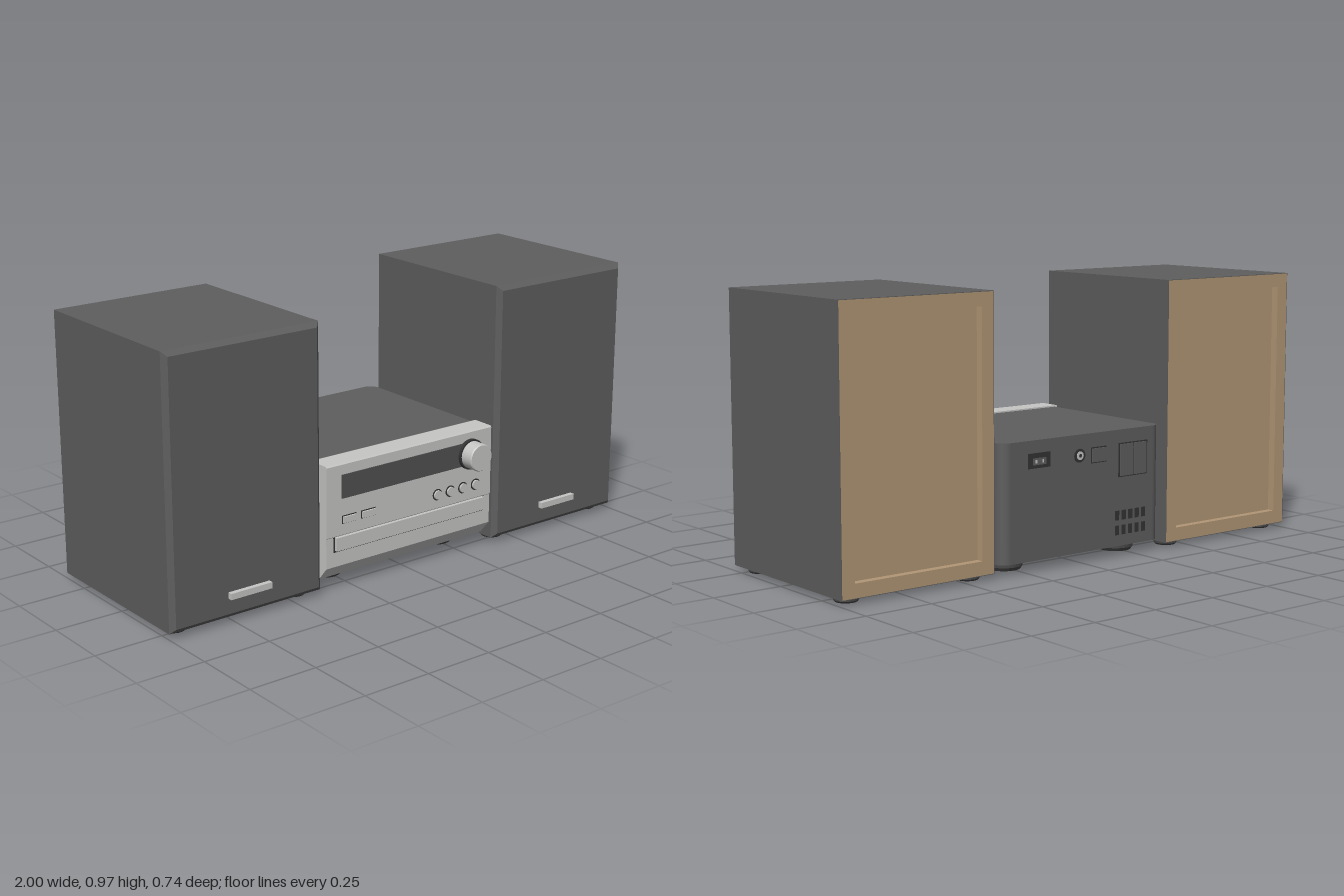
import * as THREE from 'three';

const mat = (name, color) => {
  const m = new THREE.MeshStandardMaterial({ color });
  m.name = name;
  return m;
};

export function createModel() {
  const charcoal = mat('charcoal', 0x5e5e5e);
  const silver = mat('silver', 0xc6c7c5);
  const wood = mat('wood', 0xb39776);
  const rubber = mat('rubber', 0x484848);
  const smoked = mat('smoked display', 0x505050);
  const black = mat('black', 0x333333);

  const model = new THREE.Group();
  model.name = 'stereoSystem';

  const add = (parent, name, geometry, material, x = 0, y = 0, z = 0) => {
    const mesh = new THREE.Mesh(geometry, material);
    mesh.name = name;
    mesh.position.set(x, y, z);
    parent.add(mesh);
    return mesh;
  };
  const box = (parent, name, material, w, h, d, x, y, z) =>
    add(parent, name, new THREE.BoxGeometry(w, h, d), material, x, y, z);
  // Cylinder along z, starting at z0 and ending at z1
  const disc = (parent, name, material, r, z0, z1, x, y) =>
    add(parent, name, new THREE.CylinderGeometry(r, r, z1 - z0, 40).rotateX(Math.PI / 2), material, x, y, (z0 + z1) / 2);
  const rectPoints = (w, h) => [[-w, -h], [w, -h], [w, h], [-w, h]].map(([x, y]) => new THREE.Vector2(x / 2, y / 2));
  // Rectangular ring extruded along z
  const ring = (w, h, iw, ih, depth) => {
    const shape = new THREE.Shape(rectPoints(w, h));
    shape.holes.push(new THREE.Path(rectPoints(iw, ih).reverse()));
    return new THREE.ExtrudeGeometry(shape, { depth, bevelEnabled: false });
  };
  // Rubber foot with a slightly chamfered bottom edge
  const foot = (parent, r, h, x, z) => {
    const profile = [[0, 0], [r * 0.88, 0], [r, h * 0.3], [r, h]].map(([a, b]) => new THREE.Vector2(a, b));
    const geometry = new THREE.LatheGeometry(profile, 32).toNonIndexed();
    geometry.computeVertexNormals();
    add(parent, 'foot', geometry, rubber, x, 0, z);
  };

  // Speakers
  const W = 0.608, H = 0.948, Y = 0.494, BACK = -0.366, RECESS = 0.032;
  for (const side of [-1, 1]) {
    const speaker = new THREE.Group();
    speaker.name = side > 0 ? 'leftSpeaker' : 'rightSpeaker';
    speaker.position.x = side * 0.696;
    model.add(speaker);

    const bodyBack = BACK + RECESS, bodyFront = 0.295;
    box(speaker, 'cabinet', charcoal, W, H, bodyFront - bodyBack, 0, Y, (bodyFront + bodyBack) / 2);
    // Front baffle with chamfered edges
    const baffle = new THREE.BoxGeometry(W, H, 0.017);
    const p = baffle.attributes.position;
    for (let i = 0; i < p.count; i++) {
      if (p.getZ(i) > 0) p.setXY(i, p.getX(i) * (1 - 0.034 / W), p.getY(i) * (1 - 0.034 / H));
    }
    baffle.computeVertexNormals();
    add(speaker, 'frontBaffle', baffle, charcoal, 0, Y, bodyFront + 0.0085);
    box(speaker, 'badge', silver, 0.165, 0.022, 0.018, 0, 0.104, 0.321);

    // Back: dark outer skin, wooden frame and sunken wooden panel
    add(speaker, 'cabinetRim', ring(W, H, W - 0.004, H - 0.004, RECESS), charcoal, 0, Y, BACK);
    add(speaker, 'backFrame', ring(W - 0.004, H - 0.004, W - 0.1, H - 0.1, RECESS), wood, 0, Y, BACK);
    box(speaker, 'backPanel', wood, W - 0.1, H - 0.1, 0.004, 0, Y, bodyBack - 0.002);

    for (const x of [-0.242, 0.242]) for (const z of [0.228, -0.297]) foot(speaker, 0.042, 0.02, x, z);
  }

  // Receiver body with rounded rear corners
  const receiver = new THREE.Group();
  receiver.name = 'receiver';
  model.add(receiver);
  const hw = 0.36, r = 0.038, rear = 0.366;
  const plan = new THREE.Shape();
  plan.moveTo(-hw, -0.225);
  plan.lineTo(hw, -0.225);
  plan.lineTo(hw, rear - r);
  plan.absarc(hw - r, rear - r, r, 0, Math.PI / 2);
  plan.lineTo(-hw + r, rear);
  plan.absarc(-hw + r, rear - r, r, Math.PI / 2, Math.PI);
  plan.closePath();
  add(receiver, 'body', new THREE.ExtrudeGeometry(plan, { depth: 0.415, bevelEnabled: false, curveSegments: 8 }).rotateX(-Math.PI / 2),
    charcoal, 0, 0.04, 0);

  // Front panel: side profile (z, y) with a sloped lower edge
  const profile = [[0.222, 0.04], [0.262, 0.04], [0.305, 0.09], [0.305, 0.199], [0.308, 0.202],
    [0.308, 0.455], [0.303, 0.46], [0.222, 0.46]].map(([a, b]) => new THREE.Vector2(a, b));
  add(receiver, 'frontPanel', new THREE.ExtrudeGeometry(new THREE.Shape(profile), { depth: 0.742, bevelEnabled: false })
    .rotateY(-Math.PI / 2), silver, 0.371, 0, 0);

  // Display, disc tray and buttons
  box(receiver, 'display', smoked, 0.575, 0.085, 0.008, -0.02, 0.377, 0.308);
  box(receiver, 'trayGap', black, 0.682, 0.055, 0.004, 0, 0.171, 0.3045);
  box(receiver, 'discTray', silver, 0.67, 0.048, 0.016, 0, 0.1745, 0.31);
  for (const x of [-0.275, -0.192]) {
    box(receiver, 'buttonSurround', black, 0.063, 0.029, 0.004, x, 0.257, 0.3075);
    box(receiver, 'button', silver, 0.056, 0.022, 0.01, x, 0.257, 0.311);
  }
  for (const x of [0.12, 0.18, 0.239, 0.299]) {
    disc(receiver, 'roundButtonSurround', black, 0.021, 0.305, 0.3095, x, 0.253);
    disc(receiver, 'roundButton', silver, 0.0165, 0.305, 0.316, x, 0.253);
  }

  // Volume knob
  disc(receiver, 'knobRing', black, 0.056, 0.305, 0.322, 0.27, 0.375);
  disc(receiver, 'volumeKnob', silver, 0.05, 0.32, 0.368, 0.27, 0.375);
  add(receiver, 'knobCap', new THREE.CylinderGeometry(0.047, 0.05, 0.004, 40).rotateX(Math.PI / 2), silver, 0.27, 0.375, 0.37);

  // Rear sockets
  box(receiver, 'powerSocket', black, 0.095, 0.052, 0.004, 0.2, 0.385, -0.367);
  box(receiver, 'powerSocketInsert', charcoal, 0.06, 0.024, 0.006, 0.2, 0.382, -0.367);
  for (const x of [0.185, 0.215]) box(receiver, 'powerPin', silver, 0.007, 0.012, 0.008, x, 0.382, -0.367);
  disc(receiver, 'aerialSocket', black, 0.024, -0.369, -0.364, 0.02, 0.382);
  disc(receiver, 'aerialSleeve', silver, 0.015, -0.371, -0.364, 0.02, 0.382);
  disc(receiver, 'aerialCore', black, 0.006, -0.372, -0.364, 0.02, 0.382);
  box(receiver, 'wiredSocketEdge', black, 0.07, 0.056, 0.003, -0.067, 0.377, -0.3665);
  box(receiver, 'wiredSocket', charcoal, 0.062, 0.048, 0.008, -0.067, 0.377, -0.368);
  box(receiver, 'terminalEdge', black, 0.135, 0.121, 0.003, -0.227, 0.347, -0.3665);
  for (const x of [-0.259, -0.195]) box(receiver, 'speakerTerminal', charcoal, 0.058, 0.113, 0.008, x, 0.347, -0.368);

  // Cooling slots
  for (let i = 0; i < 5; i++) for (const y of [0.15, 0.097]) {
    box(receiver, 'coolingSlot', black, 0.018, 0.034, 0.003, -0.155 - i * 0.031, y, -0.3665);
  }

  for (const x of [-0.255, 0.255]) for (const z of [0.14, -0.243]) foot(receiver, 0.065, 0.04, x, z);
  return model;
}
